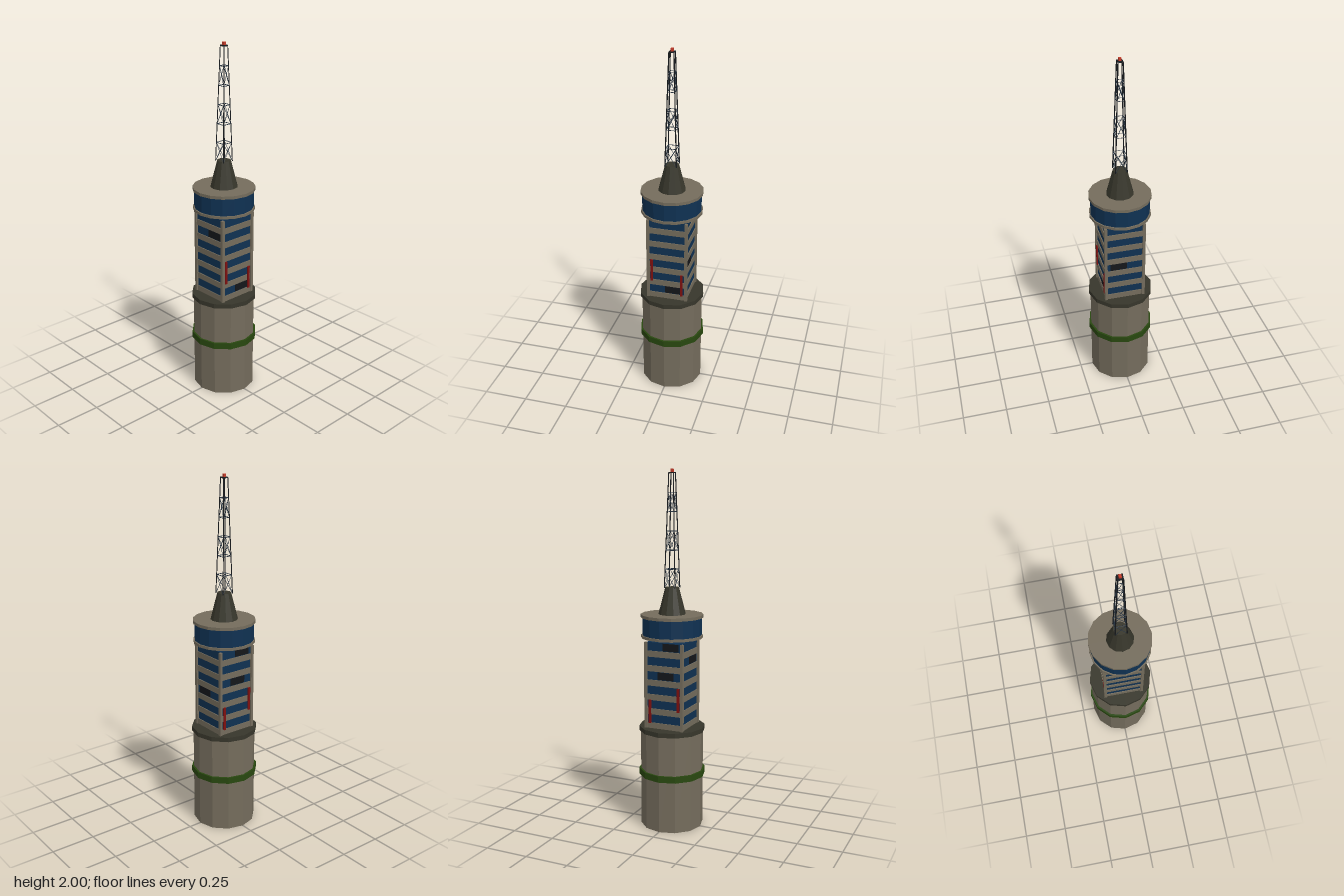
import * as THREE from 'three';

const mat = (name, color) => {
  const m = new THREE.MeshStandardMaterial({ color, flatShading: true });
  m.name = name;
  return m;
};

export function createModel() {
  const root = new THREE.Group();
  root.name = 'tower';
  const concrete = mat('concrete', 0x746c5c);
  const darkStone = mat('dark stone', 0x37362b);
  const green = mat('green band', 0x28470f);
  const glass = mat('blue glass', 0x0f3152);
  const unlit = mat('dark window', 0x14161a);
  const red = mat('red banner', 0x80100f);
  const steel = mat('black steel', 0x16191c);
  const braceSteel = mat('blue steel', 0x22303f);
  const beaconRed = mat('beacon red', 0xc43c2a);

  const add = (parent, name, geometry, material, x = 0, y = 0, z = 0) => {
    const mesh = new THREE.Mesh(geometry, material);
    mesh.name = name;
    mesh.position.set(x, y, z);
    parent.add(mesh);
    return mesh;
  };
  const group = (name, parent = root) => {
    const g = new THREE.Group();
    g.name = name;
    parent.add(g);
    return g;
  };
  const box = (parent, name, m, w, h, d, x, y, z) =>
    add(parent, name, new THREE.BoxGeometry(w, h, d), m, x, y, z);
  const drum = (parent, name, m, rTop, rBottom, y0, y1, sides) =>
    add(parent, name, new THREE.CylinderGeometry(rTop, rBottom, y1 - y0, sides), m, 0, (y0 + y1) / 2, 0);

  // Round base with its bands
  const base = group('base');
  drum(base, 'baseDrum', concrete, 0.177, 0.177, 0, 0.56, 12);
  drum(base, 'greenBand', green, 0.188, 0.188, 0.297, 0.333, 12);
  drum(base, 'baseRim', darkStone, 0.186, 0.186, 0.556, 0.582, 12);

  // Square shaft: glass core, floor slabs and corner pillars
  const shaft = group('shaft');
  const y0 = 0.58, floors = 6, pitch = 0.49 / floors, slab = 0.034;
  const core = 0.106;
  box(shaft, 'glassCore', glass, core * 2, 0.49, core * 2, 0, y0 + 0.245, 0);
  for (let i = 0; i < floors; i++)
    box(shaft, 'floorSlab', concrete, 0.222, slab, 0.222, 0, y0 + i * pitch + slab / 2, 0);
  for (const sx of [-1, 1])
    for (const sz of [-1, 1])
      box(shaft, 'cornerPillar', concrete, 0.016, 0.49, 0.016, sx * 0.109, y0 + 0.245, sz * 0.109);

  // Each side: unlit windows [floor, centre], banners [centre, bottom]
  const sides = [
    { name: 'frontSide', turn: 0, dark: [[0, 0.035]], banners: [[-0.088, 0.69], [0.084, 0.612]] },
    { name: 'leftSide', turn: Math.PI / 2, dark: [[2, -0.035]], banners: [] },
    { name: 'backSide', turn: Math.PI, dark: [[5, 0.04], [3, 0.01]], banners: [[0.088, 0.69], [-0.084, 0.612]] },
    { name: 'rightSide', turn: -Math.PI / 2, dark: [[4, 0.04]], banners: [] },
  ];
  for (const s of sides) {
    const side = group(s.name, shaft);
    side.rotation.y = s.turn;
    for (const [floor, x] of s.dark)
      box(side, 'darkWindow', unlit, 0.095, pitch - slab - 0.006, 0.003, x,
        y0 + floor * pitch + (pitch + slab) / 2, core + 0.001);
    for (const [x, bottom] of s.banners)
      box(side, 'banner', red, 0.014, 0.134, 0.008, x, bottom + 0.067, 0.113);
  }

  // Round observation deck
  const deck = group('deck');
  drum(deck, 'deckFloor', concrete, 0.172, 0.172, 1.087, 1.102, 16);
  drum(deck, 'deckWindows', glass, 0.165, 0.165, 1.102, 1.2, 16);
  drum(deck, 'deckRoof', concrete, 0.174, 0.174, 1.2, 1.217, 16);
  drum(root, 'mastFoot', darkStone, 0.038, 0.076, 1.217, 1.366, 12);

  // Tapering lattice mast
  const mast = group('mast');
  const up = new THREE.Vector3(0, 1, 0);
  const bar = (name, m, a, b, r) => {
    const dir = b.clone().sub(a);
    const mesh = add(mast, name, new THREE.CylinderGeometry(r, r, dir.length(), 4), m);
    mesh.position.copy(a).add(b).multiplyScalar(0.5);
    mesh.quaternion.setFromUnitVectors(up, dir.normalize());
  };
  const levels = 6, mastBottom = 1.362, mastTop = 1.98;
  const corner = (k, c) => {
    const t = k / levels, w = THREE.MathUtils.lerp(0.032, 0.0135, t);
    const sign = [[1, 1], [1, -1], [-1, -1], [-1, 1]][c % 4];
    return new THREE.Vector3(sign[0] * w, THREE.MathUtils.lerp(mastBottom, mastTop, t), sign[1] * w);
  };
  for (let c = 0; c < 4; c++) {
    bar('mastLeg', steel, corner(0, c), corner(levels, c), 0.0032);
    for (let k = 1; k <= levels; k++) {
      bar('mastRing', braceSteel, corner(k, c), corner(k, c + 1), 0.002);
      // Crossed braces on every other stage
      if (k % 2) {
        bar('mastBrace', braceSteel, corner(k - 1, c), corner(k, c + 1), 0.0016);
        bar('mastBrace', braceSteel, corner(k - 1, c + 1), corner(k, c), 0.0016);
      }
    }
  }
  box(mast, 'mastCap', steel, 0.03, 0.006, 0.03, 0, 1.981, 0);
  box(mast, 'beacon', beaconRed, 0.014, 0.017, 0.014, 0, 1.9915, 0);

  return root;
}
